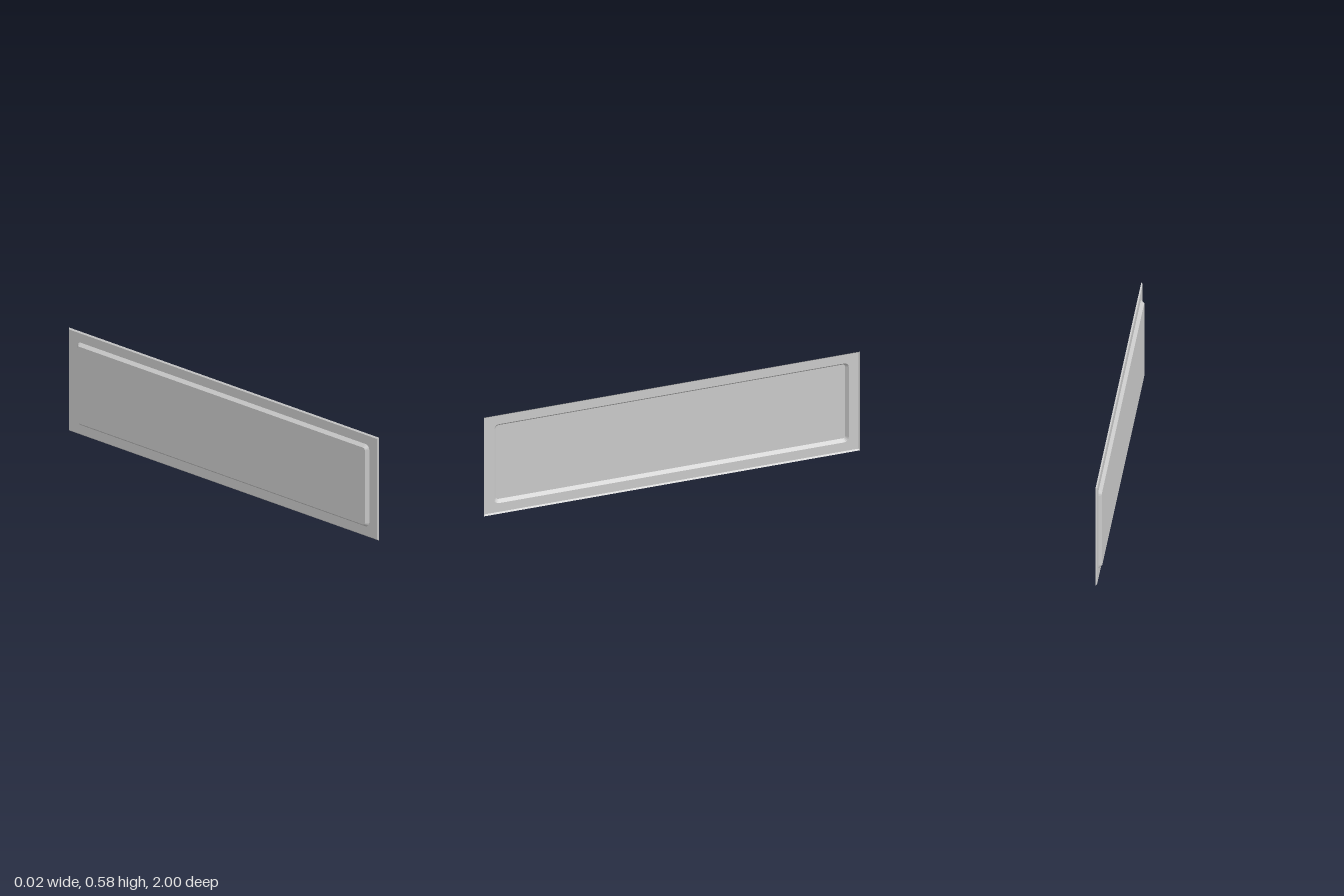
import * as THREE from 'three';

const HEIGHT = 0.577, CORNER_STEPS = 4;

// One rounded-rectangle cross-section at depth x, inset from the outer border
function ring(x, inset, radius) {
  const w = 1 - inset - radius, h = HEIGHT / 2 - inset - radius;
  const points = [];
  [[1, 1], [-1, 1], [-1, -1], [1, -1]].forEach(([su, sv], corner) => {
    for (let i = 0; i <= CORNER_STEPS; i++) {
      const a = (corner + i / CORNER_STEPS) * Math.PI / 2;
      const u = su * w + radius * Math.cos(a);
      const v = sv * h + radius * Math.sin(a);
      points.push(new THREE.Vector3(x, HEIGHT / 2 + v, -u));
    }
  });
  return points;
}

// Joins cross-sections into a strip, optionally closing the last one with a flat face
function sheet(name, rings, capped, material) {
  const positions = [];
  const triangle = (a, b, c) => {
    if (new THREE.Triangle(a, b, c).getArea() < 1e-9) return;
    for (const p of [a, b, c]) positions.push(p.x, p.y, p.z);
  };
  for (let r = 0; r < rings.length - 1; r++) {
    const outer = rings[r], inner = rings[r + 1];
    for (let i = 0; i < outer.length; i++) {
      const j = (i + 1) % outer.length;
      triangle(outer[i], outer[j], inner[j]);
      triangle(outer[i], inner[j], inner[i]);
    }
  }
  if (capped) {
    const last = rings[rings.length - 1];
    const centre = new THREE.Vector3(last[0].x, HEIGHT / 2, 0);
    last.forEach((p, i) => triangle(p, last[(i + 1) % last.length], centre));
  }
  const geometry = new THREE.BufferGeometry();
  geometry.setAttribute('position', new THREE.Float32BufferAttribute(positions, 3));
  geometry.computeVertexNormals();
  const mesh = new THREE.Mesh(geometry, material);
  mesh.name = name;
  return mesh;
}

export function createModel() {
  const group = new THREE.Group();
  group.name = 'pressedPanel';
  const material = new THREE.MeshStandardMaterial({
    color: 0xcccccc, flatShading: true, side: THREE.DoubleSide,
  });

  const border = ring(0.012, 0, 0);
  const flangeOuter = ring(0.005, 0.007, 0);
  const flangeInner = ring(0.005, 0.058, 0.025);
  const panelEdge = ring(-0.012, 0.073, 0.012);

  group.add(
    sheet('flaredRim', [border, flangeOuter], false, material),
    sheet('flange', [flangeOuter, flangeInner], false, material),
    sheet('bevel', [flangeInner, panelEdge], false, material),
    sheet('panelFace', [panelEdge], true, material),
  );
  return group;
}
